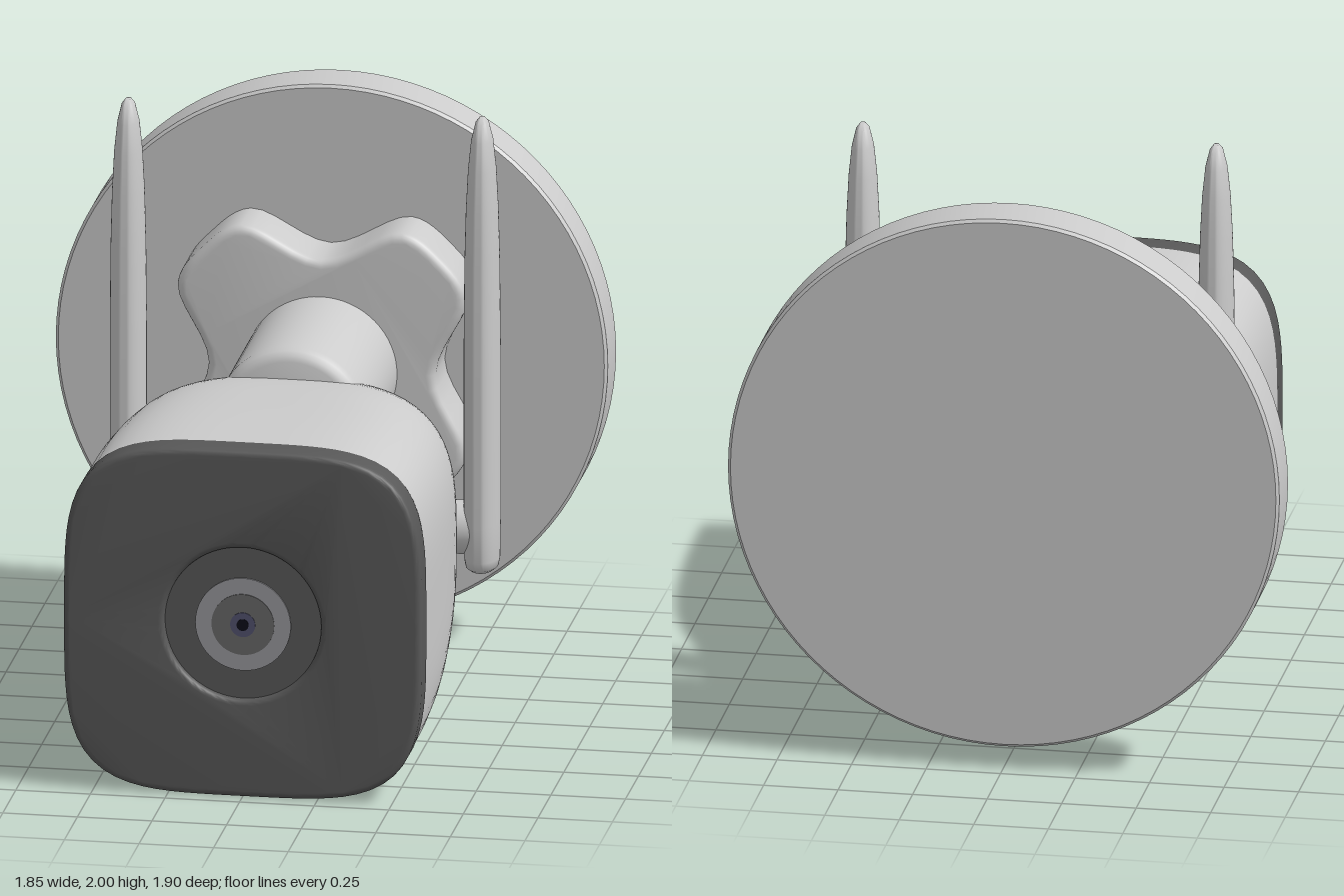
import * as THREE from 'three';
import { toCreasedNormals } from 'three/addons/utils/BufferGeometryUtils.js';

const paint = (color = 0xcccccc) => new THREE.MeshStandardMaterial({ color });
const grey = paint();

function part(name, geometry, material = grey) {
  const mesh = new THREE.Mesh(geometry, material);
  mesh.name = name;
  return mesh;
}

// Solid of revolution along z; profile rows are [radius, z] from front to back
function turned(profile, segments = 64) {
  const points = profile.map(([r, z]) => new THREE.Vector2(r, z)).reverse();
  const g = new THREE.LatheGeometry(points, segments);
  g.rotateX(Math.PI / 2);
  return toCreasedNormals(g, 0.6);
}

// Point on a rounded-square (superellipse) outline of unit half-size
function squircle(angle, n) {
  const c = Math.cos(angle), s = Math.sin(angle);
  const r = Math.pow(Math.abs(c) ** n + Math.abs(s) ** n, -1 / n);
  return new THREE.Vector2(c * r, s * r);
}

// Camera shell: rounded-square sections that shrink toward the back
function shellGeometry() {
  // z, bottom y, top y, half width, squareness
  const rows = [
    [0.85, 0.003, 1.2, 0.598, 4], [0.6, 0.003, 1.2, 0.598, 3.9], [0.35, 0.02, 1.19, 0.59, 3.7],
    [0.1, 0.06, 1.17, 0.568, 3.4], [-0.1, 0.105, 1.125, 0.535, 3.1], [-0.28, 0.155, 1.06, 0.482, 2.8],
    [-0.42, 0.21, 0.975, 0.415, 2.6], [-0.52, 0.27, 0.875, 0.342, 2.4], [-0.59, 0.335, 0.77, 0.25, 2.3],
    [-0.63, 0.41, 0.66, 0.14, 2.2], [-0.64, 0.53, 0.53, 0, 2],
  ];
  const edge = new THREE.CatmullRomCurve3(rows.map(r => new THREE.Vector3(r[0], r[1], r[2])), false, 'catmullrom');
  const side = new THREE.CatmullRomCurve3(rows.map(r => new THREE.Vector3(r[3], r[4], 0)), false, 'catmullrom');
  const rings = 50, around = 96, pos = [], index = [];
  for (let i = 0; i <= rings; i++) {
    const e = edge.getPoint(i / rings), w = side.getPoint(i / rings);
    for (let j = 0; j < around; j++) {
      const p = squircle(j / around * Math.PI * 2, w.y);
      pos.push(p.x * w.x, (e.y + e.z) / 2 + p.y * (e.z - e.y) / 2, e.x);
      if (i === rings) continue;
      const a = i * around + j, b = i * around + (j + 1) % around;
      index.push(a, a + around, b, b, a + around, b + around);
    }
  }
  const g = new THREE.BufferGeometry();
  g.setAttribute('position', new THREE.Float32BufferAttribute(pos, 3));
  g.setIndex(index);
  g.computeVertexNormals();
  return g;
}

// Dark front bezel with a round opening for the lens
function bezelGeometry() {
  const outline = [];
  for (let j = 0; j < 96; j++) outline.push(squircle(j / 96 * Math.PI * 2, 4).multiplyScalar(0.6));
  const shape = new THREE.Shape(outline);
  shape.holes.push(new THREE.Path().absarc(0, 0, 0.262, 0, Math.PI * 2, true));
  const g = new THREE.ExtrudeGeometry(shape, {
    depth: 0.08, bevelThickness: 0.02, bevelSize: 0.02, bevelOffset: -0.02, bevelSegments: 4, curveSegments: 48,
  });
  g.translate(0, 0.6, 0.85);
  return toCreasedNormals(g, 0.5);
}

// Four-lobed clamping knob
function knobGeometry() {
  const lobe = [[0.38, 0], [0.485, 0.27], [0.40, 0.40], [0.27, 0.485]];
  const points = [];
  for (let k = 0; k < 4; k++)
    for (const [x, y] of lobe)
      points.push(new THREE.Vector2(x, y).rotateAround(new THREE.Vector2(), k * Math.PI / 2));
  const curve = new THREE.CatmullRomCurve3(points.map(p => new THREE.Vector3(p.x, p.y, 0)), true, 'centripetal');
  const outline = curve.getPoints(96).slice(0, -1).map(p => new THREE.Vector2(p.x, p.y));
  const g = new THREE.ExtrudeGeometry(new THREE.Shape(outline), {
    depth: 0.17, bevelThickness: 0.03, bevelSize: 0.03, bevelOffset: -0.03, bevelSegments: 5,
  });
  g.translate(0, 1, -0.77);
  return toCreasedNormals(g, 0.6);
}

// Flattened antenna with a tapered round tip
function antennaGeometry() {
  const profile = [
    [0, 0.43], [0.06, 0.432], [0.083, 0.445], [0.092, 0.475], [0.094, 0.6], [0.094, 1.2], [0.09, 1.5],
    [0.083, 1.68], [0.072, 1.82], [0.056, 1.92], [0.034, 1.98], [0.015, 1.997], [0, 2],
  ];
  const g = new THREE.LatheGeometry(profile.map(([r, y]) => new THREE.Vector2(r, y)), 40);
  g.scale(0.64, 1, 1);
  g.computeVertexNormals();
  return toCreasedNormals(g, 0.9);
}

export function createModel() {
  const model = new THREE.Group();
  model.name = 'securityCamera';

  // Wall mount
  const plate = part('wallPlate', turned([[0, -0.77], [0.915, -0.77], [0.925, -0.78], [0.925, -0.94], [0.915, -0.95], [0, -0.95]], 96));
  const arm = part('mountArm', turned([[0, 0.022], [0.215, 0.022], [0.235, 0.015], [0.248, 0], [0.255, -0.03], [0.255, -0.6]]));
  plate.position.y = arm.position.y = 1;
  const tail = part('cableOutlet', turned([[0, -0.55], [0.14, -0.55], [0.14, -0.78]], 40));
  tail.position.y = 0.55;
  model.add(plate, arm, tail, part('clampKnob', knobGeometry()));

  // Camera housing
  model.add(part('housing', shellGeometry()), part('frontBezel', bezelGeometry(), paint(0x585858)));

  // Lens: recessed disc, grey ring, dark glass and pupil, stacked forward
  const lens = new THREE.Group();
  lens.name = 'lens';
  lens.position.set(0, 0.595, 0);
  const discs = [
    ['lensRecess', 0.285, 0.928, 0x585858], ['lensRing', 0.16, 0.934, 0x98989c],
    ['lensGlass', 0.105, 0.937, 0x666666], ['lensIris', 0.042, 0.94, 0x50506c], ['lensPupil', 0.02, 0.943, 0x0c0c18],
  ];
  for (const [name, r, z, color] of discs)
    lens.add(part(name, turned([[0, z], [r, z], [r, 0.86]], 48), paint(color)));
  model.add(lens);

  // Antennas on round hinge stubs
  for (const [side, x] of [['left', 0.588], ['right', -0.598]]) {
    const antenna = part(side + 'Antenna', antennaGeometry());
    antenna.position.set(x, 0, -0.297);
    const stub = part(side + 'AntennaHinge', new THREE.CylinderGeometry(0.09, 0.09, 0.24, 32));
    stub.rotation.z = Math.PI / 2;
    stub.position.set(Math.sign(x) * 0.46, 0.57, -0.305);
    model.add(antenna, stub);
  }
  return model;
}
